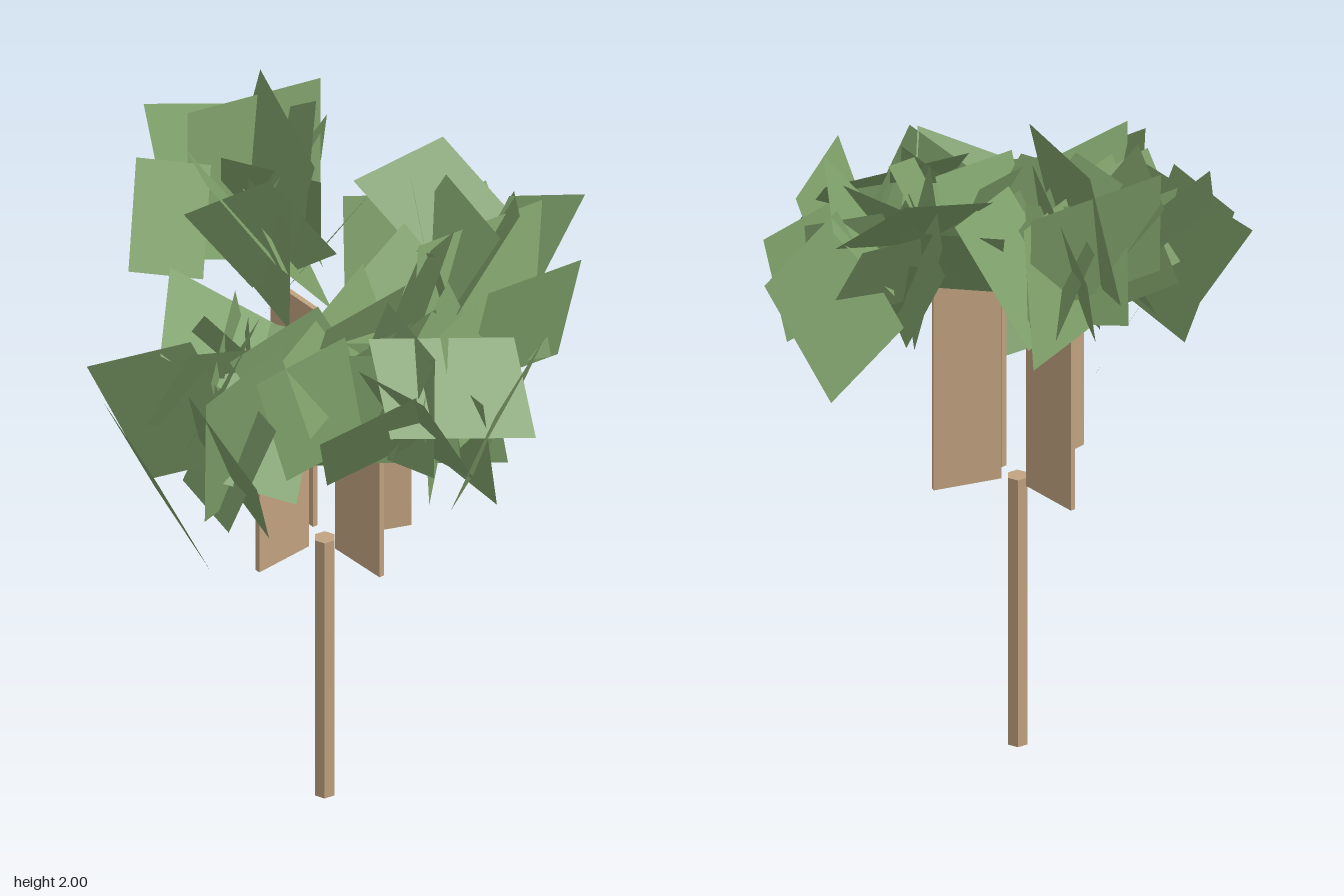
import * as THREE from 'three';

export function createModel() {
  const model = new THREE.Group();
  const bark = new THREE.MeshStandardMaterial({ color: 0xc2a380 });
  bark.name = 'bark brown';
  const green = new THREE.MeshStandardMaterial({ color: 0x7c9d68, side: THREE.DoubleSide });
  green.name = 'leaf green';
  bark.flatShading = green.flatShading = true;

  const add = (geometry, material, name, parent = model) => {
    const mesh = new THREE.Mesh(geometry, material);
    mesh.name = name;
    parent.add(mesh);
    return mesh;
  };

  // Slim six-sided trunk
  const trunk = add(new THREE.CylinderGeometry(0.03, 0.03, 0.82, 6), bark, 'trunk');
  trunk.position.set(-0.06, 0.41, 0.05);
  trunk.rotation.y = Math.PI / 2;

  // Upright branch planks: from x,z to x,z and top height
  const branch = (name, x0, z0, x1, z1, top) => {
    const length = Math.hypot(x1 - x0, z1 - z0);
    const plank = add(new THREE.BoxGeometry(length, top - 0.82, 0.015), bark, name);
    plank.position.set((x0 + x1) / 2, (top + 0.82) / 2, (z0 + z1) / 2);
    plank.rotation.y = -Math.atan2(z1 - z0, x1 - x0);
  };
  branch('leftBranch', -0.015, 0.065, 0.174, 0.105, 1.5);
  branch('rightBranch', -0.12, 0.06, -0.297, 0.105, 1.42);
  branch('frontBranch', -0.055, 0.11, -0.02, 0.29, 1.42);
  branch('backBranch', -0.055, -0.01, -0.085, -0.19, 1.52);

  // A flat leaf card spanned by one corner and its two neighbours
  const leaf = (parent, a, b, d) => {
    const c = b.clone().add(d).sub(a);
    const geometry = new THREE.BufferGeometry().setFromPoints([a, d, c, a, c, b]);
    geometry.computeVertexNormals();
    add(geometry, green, 'leafCard', parent);
  };

  let seed = 11;
  const rand = () => (seed = (seed * 16807) % 2147483647) / 2147483647;
  const spread = (s) => (rand() * 2 - 1) * s;

  // One clump of foliage: placed outer cards, then scattered cards around a centre
  const clump = (name, [x, y, z], count, outer) => {
    const group = new THREE.Group();
    group.name = name;
    model.add(group);
    for (const p of outer) {
      leaf(group, ...[0, 3, 6].map((i) => new THREE.Vector3(...p.slice(i, i + 3))));
    }
    for (let i = 0; i < count; i++) {
      const turn = new THREE.Euler(spread(0.6), rand() * Math.PI, spread(0.6), 'YXZ');
      const centre = new THREE.Vector3(x + spread(0.15), y + spread(0.1), z + spread(0.14));
      leaf(group, ...[[-0.14, 0.16], [0.14, 0.16], [-0.14, -0.16]].map(([u, v]) =>
        new THREE.Vector3(u, v, 0).applyEuler(turn).add(centre)));
    }
  };

  clump('backFoliage', [-0.03, 1.66, -0.25], 6, [
    [0.1, 1.7, -0.75, -0.25, 1.9, -0.6, 0.04, 1.38, -0.47],
    [0.03, 2, -0.46, -0.04, 1.95, -0.04, -0.03, 1.62, -0.52],
    [-0.2, 1.94, -0.45, 0.21, 1.92, -0.45, -0.24, 1.6, -0.38],
    [-0.38, 1.88, -0.41, -0.15, 1.78, -0.41, -0.5, 1.65, -0.24],
    [0.27, 1.78, -0.16, 0, 1.75, 0, 0.15, 1.45, -0.34],
    [0.29, 1.55, -0.59, 0, 1.5, -0.4, 0.19, 1.85, -0.38],
    [0.1, 1.98, -0.28, 0.12, 1.76, -0.59, -0.02, 1.7, -0.13],
  ]);
  clump('leftFoliage', [0.28, 1.57, 0.1], 8, [
    [0.48, 1.77, 0.1, 0.75, 1.65, 0.035, 0.3, 1.38, 0.05],
    [0.13, 1.8, -0.13, 0.4, 1.86, -0.12, 0.24, 1.62, 0.05],
    [0.28, 1.66, 0.34, 0.6, 1.63, 0.28, 0.23, 1.35, 0.3],
    [0.2, 1.7, 0.1, 0.57, 1.74, 0.12, 0.12, 1.42, 0.2],
    [0.34, 1.76, -0.21, 0.2, 1.84, 0.08, 0.36, 1.4, -0.1],
  ]);
  clump('rightFoliage', [-0.37, 1.39, 0.14], 8, [
    [-0.76, 1.41, 0.38, -0.72, 1.45, 0.01, -0.59, 1.07, 0.36],
    [-0.6, 1.6, 0.36, -0.3, 1.63, 0.25, -0.57, 1.18, 0.3],
    [-0.4, 1.66, -0.19, -0.09, 1.45, 0.06, -0.56, 1.56, 0.04],
    [-0.62, 1.6, 0.3, -0.55, 1.42, 0.55, -0.47, 1.28, 0.1],
    [-0.69, 1.47, -0.13, -0.5, 1.62, 0.1, -0.58, 1.16, 0.02],
  ]);
  clump('frontFoliage', [0.05, 1.44, 0.4], 8, [
    [0.07, 1.57, 0.75, 0.36, 1.58, 0.5, 0, 1.22, 0.63],
    [-0.34, 1.48, 0.52, -0.1, 1.61, 0.62, -0.25, 1.25, 0.4],
    [-0.1, 1.65, 0.36, 0.28, 1.6, 0.48, -0.14, 1.45, 0.55],
    [-0.15, 1.6, 0.34, 0.2, 1.57, 0.48, -0.1, 1.25, 0.36],
  ]);
  clump('middleFoliage', [-0.12, 1.46, 0.2], 5, [
    [-0.33, 1.62, 0.3, 0.03, 1.7, 0.1, -0.29, 1.4, 0.38],
    [-0.36, 1.36, 0.2, -0.06, 1.3, 0.28, -0.32, 1.17, 0.1],
  ]);
  return model;
}
